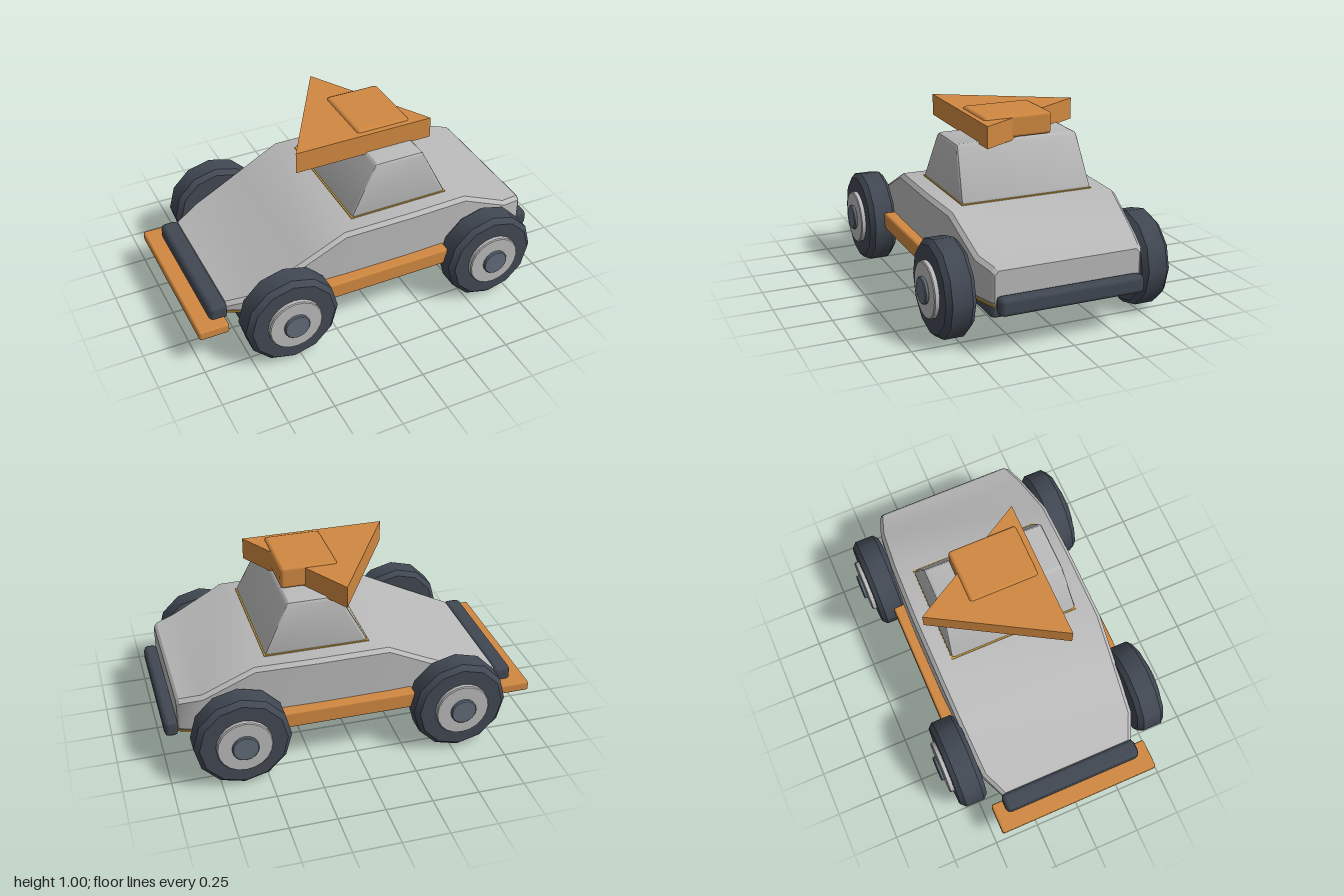
import * as THREE from 'three';
import { toCreasedNormals } from 'three/addons/utils/BufferGeometryUtils.js';
import { RoundedBoxGeometry } from 'three/addons/geometries/RoundedBoxGeometry.js';

const material = (name, color) => {
  const m = new THREE.MeshStandardMaterial({ color });
  m.name = name;
  return m;
};

export function createModel() {
  const car = new THREE.Group();
  car.name = 'car';
  const grey = material('light grey', 0xb9b9b9);
  const dark = material('dark slate', 0x414853);
  const orange = material('orange', 0xd08840);
  const gold = material('gold', 0xcf9f38);
  const steel = material('steel', 0x606c78);

  function add(name, geometry, mat, parent = car) {
    const mesh = new THREE.Mesh(geometry, mat);
    mesh.name = name;
    parent.add(mesh);
    return mesh;
  }

  // Chamfered block given by its limits on each axis
  function block(name, [x0, x1], [y0, y1], [z0, z1], bevel, mat) {
    const g = new RoundedBoxGeometry(x1 - x0, y1 - y0, z1 - z0, 1, bevel);
    g.translate((x0 + x1) / 2, (y0 + y1) / 2, (z0 + z1) / 2);
    return add(name, g, mat);
  }

  // Body stations along the car: x, half width, top height
  const stations = [
    [-0.82, 0.385, 0.31], [-0.69, 0.445, 0.35], [-0.41, 0.462, 0.485],
    [-0.18, 0.472, 0.6], [0.2, 0.474, 0.6], [0.53, 0.466, 0.6],
    [0.8, 0.44, 0.465], [0.915, 0.405, 0.44], [0.93, 0.39, 0.425],
  ];

  // Skin joining one chamfered cross-section per station
  function bodyGeometry() {
    const b = 0.02, bottom = 0.245, pos = [], index = [], n = 8;
    for (const [x, w, top] of stations) {
      const half = [[w - b, top], [w, top - b], [w, bottom + b], [w - b, bottom]];
      const ring = [...half, ...half.map(([z, y]) => [-z, y]).reverse()];
      for (const [z, y] of ring) pos.push(x, y, z);
    }
    const last = (stations.length - 1) * n;
    for (let i = 0; i < last; i += n) {
      for (let k = 0; k < n; k++) {
        const j = (k + 1) % n;
        index.push(i + k, i + j, i + n + k, i + j, i + n + j, i + n + k);
      }
    }
    for (let k = 1; k < n - 1; k++) {
      index.push(0, k + 1, k, last, last + k, last + k + 1);
    }
    const g = new THREE.BufferGeometry();
    g.setAttribute('position', new THREE.Float32BufferAttribute(pos, 3));
    g.setIndex(index);
    return toCreasedNormals(g, 0.5);
  }
  add('body', bodyGeometry(), grey);

  // Thin plate under the body, following its outline
  const outline = [
    ...stations.map(([x, w]) => new THREE.Vector2(x, w - 0.015)),
    ...stations.map(([x, w]) => new THREE.Vector2(x, 0.015 - w)).reverse(),
  ];
  const plate = new THREE.ExtrudeGeometry(new THREE.Shape(outline), { depth: 0.009, bevelEnabled: false });
  plate.rotateX(Math.PI / 2).translate(0, 0.245, 0);
  add('underPlate', plate, gold);
  block('chassis', [-0.75, 0.84], [0.135, 0.24], [-0.37, 0.37], 0.025, dark);

  // Cabin: a chamfered block tapered toward the roof
  const cabin = new RoundedBoxGeometry(0.56, 0.28, 0.73, 1, 0.018);
  const p = cabin.attributes.position;
  for (let i = 0; i < p.count; i++) {
    const t = p.getY(i) / 0.28 + 0.5;
    p.setX(i, 0.18 + 0.01 * t + p.getX(i) * (1 - 0.52 * t));
    p.setZ(i, p.getZ(i) * (1 - 0.075 * t));
  }
  cabin.translate(0, 0.74, 0);
  add('cabin', toCreasedNormals(cabin, 0.5), grey);
  add('cabinTrim', new THREE.BoxGeometry(0.56, 0.009, 0.73), gold).position.set(0.18, 0.601, 0);

  // Roof ornament: triangular slab with a block through it
  const triangle = new THREE.Shape([[0.045, -0.45], [0.435, 0.215], [-0.34, 0.215]]
    .map(([x, z]) => new THREE.Vector2(x, z)));
  const slab = new THREE.ExtrudeGeometry(triangle, { depth: 0.117, bevelEnabled: false });
  slab.rotateX(Math.PI / 2).translate(0, 0.987, 0);
  add('roofTriangle', slab, orange);
  block('roofBlock', [0.02, 0.325], [0.88, 1.0], [-0.197, 0.187], 0.018, orange);

  // Bumpers, nose splitter and side skirts
  block('noseBumper', [-0.915, -0.815], [0.215, 0.31], [-0.395, 0.395], 0.025, dark);
  block('tailBumper', [0.925, 1.0], [0.21, 0.305], [-0.39, 0.39], 0.025, dark);
  block('splitter', [-1.0, -0.835], [0.182, 0.237], [-0.46, 0.46], 0.012, orange);
  for (const s of [-1, 1]) {
    const z = [s * 0.53, s * 0.41].sort((a, b) => a - b);
    block(s > 0 ? 'leftSkirt' : 'rightSkirt', [-0.31, 0.405], [0.25, 0.342], z, 0.012, orange);
  }

  // Wheels: chamfered tyre, hub disc and cap
  function disc(radius, z0, z1, bevel, sides) {
    const profile = [[0, z0], [radius - bevel, z0], [radius, z0 + bevel],
      [radius, z1 - bevel], [radius - bevel, z1], [0, z1]];
    const g = new THREE.LatheGeometry(profile.map(([r, y]) => new THREE.Vector2(r, y)), sides);
    return toCreasedNormals(g.rotateX(Math.PI / 2), 0.6);
  }
  const tyre = disc(0.255, -0.078, 0.078, 0.026, 12);
  const hub = disc(0.146, 0.07, 0.103, 0.005, 20);
  const cap = disc(0.07, 0.1, 0.122, 0.005, 16);
  for (const [end, x] of [['nose', -0.54], ['tail', 0.63]]) {
    for (const s of [-1, 1]) {
      const wheel = new THREE.Group();
      wheel.name = `${end}${s > 0 ? 'Left' : 'Right'}Wheel`;
      add('tyre', tyre, dark, wheel);
      add('hub', hub, grey, wheel);
      add('hubCap', cap, steel, wheel);
      wheel.position.set(x, 0.257, s * 0.533);
      if (s < 0) wheel.rotation.y = Math.PI;
      car.add(wheel);
    }
  }
  return car;
}
